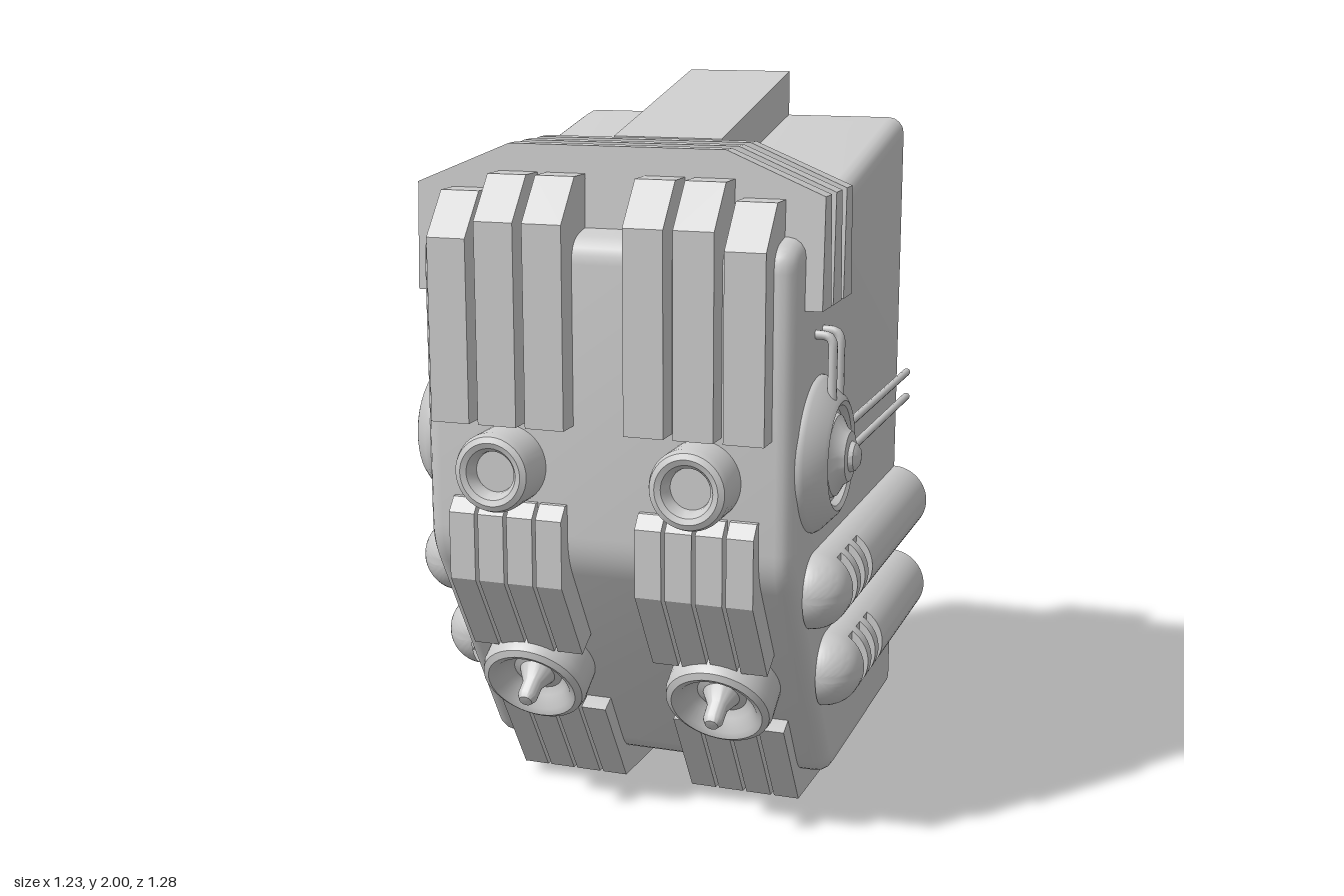
import * as THREE from 'three';
import { toCreasedNormals } from 'three/addons/utils/BufferGeometryUtils.js';

const BACK = -0.64;
const solid = new THREE.MeshStandardMaterial({ color: 0xcccccc });
const open = new THREE.MeshStandardMaterial({ color: 0xcccccc, side: THREE.DoubleSide });

function add(parent, name, geometry, material = solid) {
  const mesh = new THREE.Mesh(geometry, material);
  mesh.name = name;
  parent.add(mesh);
  return mesh;
}

// Extrude a [z, y] outline across x, from x0 to x1
function prism(outline, x0, x1) {
  const shape = new THREE.Shape(outline.map(([z, y]) => new THREE.Vector2(z, y)));
  return new THREE.ExtrudeGeometry(shape, { depth: x1 - x0, bevelEnabled: false })
    .rotateY(-Math.PI / 2).translate(x1, 0, 0);
}

// Flatten everything behind the back plane and remove the wall lying in it
function openBack(geometry) {
  const src = geometry.index ? geometry.toNonIndexed() : geometry;
  const p = src.attributes.position;
  const kept = [];
  for (let i = 0; i < p.count; i += 3) {
    const tri = [i, i + 1, i + 2].map(k => [p.getX(k), p.getY(k), Math.max(p.getZ(k), BACK)]);
    if (tri.some(v => v[2] > BACK + 0.001)) kept.push(...tri.flat());
  }
  const out = new THREE.BufferGeometry();
  out.setAttribute('position', new THREE.Float32BufferAttribute(kept, 3));
  return toCreasedNormals(out, 0.6);
}

// Round the corners of an outline
function roundedShape(points, r) {
  const shape = new THREE.Shape();
  const v = points.map(([a, b]) => new THREE.Vector2(a, b));
  v.forEach((c, i) => {
    const towards = q => c.clone().add(q.clone().sub(c).setLength(r));
    const a = towards(v[(i + v.length - 1) % v.length]);
    const b = towards(v[(i + 1) % v.length]);
    if (i) shape.lineTo(a.x, a.y); else shape.moveTo(a.x, a.y);
    shape.quadraticCurveTo(c.x, c.y, b.x, b.y);
  });
  shape.closePath();
  return shape;
}

// Hollow main shell with a sloping roof, a raked lower front and no back
function bodyGeometry() {
  const shape = roundedShape(
    [[-0.78, 0.11], [0.09, 0.11], [0.52, 0.81], [0.52, 1.64], [-0.64, 1.875], [-0.78, 1.875]], 0.06);
  const bevel = 0.045;
  const g = new THREE.ExtrudeGeometry(shape, {
    depth: 1 - 2 * bevel, bevelSize: bevel, bevelThickness: bevel,
    bevelOffset: -bevel, bevelSegments: 4, curveSegments: 5
  });
  return openBack(g.translate(0, 0, bevel - 0.5).rotateY(-Math.PI / 2));
}

// Arched roof fin, thicker towards its lower ends
function finGeometry() {
  const outline = [[-0.545, 1.48], [0.545, 1.48], [0.545, 1.76], [0.29, 1.865], [-0.29, 1.865], [-0.545, 1.76]];
  const shape = new THREE.Shape(outline.map(([x, y]) => new THREE.Vector2(x, y)));
  const g = new THREE.ExtrudeGeometry(shape, { depth: 1, bevelEnabled: false }).translate(0, 0, -0.5);
  const p = g.attributes.position;
  for (let i = 0; i < p.count; i++) {
    const t = (p.getY(i) - 1.48) / (1.865 - 1.48);
    p.setZ(i, p.getZ(i) * (0.085 - 0.037 * t));
  }
  g.computeVertexNormals();
  return g;
}

function lathe(profile, segments = 40) {
  const g = new THREE.LatheGeometry(profile.map(([r, h]) => new THREE.Vector2(r, h)), segments);
  return toCreasedNormals(g, 0.6);
}

// Half-round side tank with a domed front and three flat-cut slots
function tankGeometry(front) {
  const R = 0.102, cut = 0.056, eps = 0.002;
  const pts = [[R, BACK]];
  const slots = [0.30, 0.215, 0.13].map(d => [front - d - 0.046, front - d]);
  for (const [a, b] of slots) pts.push([R, a], [R, a + eps], [R, b - eps], [R, b]);
  for (let i = 0; i <= 10; i++) {
    const t = i / 10 * Math.PI / 2;
    pts.push([R * Math.cos(t), front - R + R * Math.sin(t)]);
  }
  const g = new THREE.LatheGeometry(pts.map(([r, h]) => new THREE.Vector2(Math.max(r, 0), h)), 32, 0, Math.PI);
  g.rotateX(Math.PI / 2);
  const p = g.attributes.position;
  for (let i = 0; i < p.count; i++) {
    const z = p.getZ(i);
    if (slots.some(([a, b]) => z > a + eps / 2 && z < b - eps / 2)) p.setX(i, Math.min(p.getX(i), cut));
  }
  return toCreasedNormals(g, 0.6);
}

function pipe(points, radius) {
  const path = new THREE.CatmullRomCurve3(points.map(q => new THREE.Vector3(...q)), false, 'catmullrom', 0.3);
  return new THREE.TubeGeometry(path, 24, radius, 10);
}

// Everything that is repeated on both sides
function sideParts() {
  const side = new THREE.Group();

  // Upper front ribs with chamfered tops
  for (const [x, top] of [[0.08, 1.795], [0.21, 1.795], [0.34, 1.75]]) {
    add(side, 'upperFrontRib', prism(
      [[0.42, 1.165], [0.588, 1.165], [0.588, top - 0.11], [0.495, top], [0.42, top]], x, x + 0.105));
  }

  // Lower front ribs and the long ribs under the floor
  for (let i = 0; i < 4; i++) {
    const x = 0.1 + i * 0.081;
    add(side, 'lowerFrontRib', prism(
      [[0.33, 0.57], [0.425, 0.515], [0.565, 0.74], [0.565, 0.92], [0.535, 0.955], [0.44, 0.955], [0.44, 0.76]], x, x + 0.071));
    add(side, 'floorRib', openBack(prism(
      [[BACK, 0], [0.095, 0.035], [0.26, 0.295], [0.215, 0.315], [BACK, 0.315]], x, x + 0.071)), open);
  }

  // Short front nozzle
  add(side, 'frontNozzle', lathe([[0, -0.16], [0.105, -0.16], [0.105, -0.025], [0.098, -0.007], [0.083, 0],
    [0.068, -0.006], [0.056, -0.025], [0.054, -0.04], [0, -0.04]]).rotateX(Math.PI / 2))
    .position.set(0.262, 1.05, 0.64);

  // Tilted lamp with a dished face and a centre pin
  const lamp = add(side, 'lowerLamp', lathe([[0, -0.14], [0.148, -0.14], [0.148, -0.03], [0.142, -0.01], [0.125, 0],
    [0.108, -0.008], [0.085, -0.04], [0.068, -0.055], [0.05, -0.05], [0.028, -0.01], [0.027, 0.035], [0.018, 0.05], [0, 0.053]]));
  lamp.rotation.x = 2.12;
  lamp.position.set(0.265, 0.39, 0.39);

  // Round side hub with a stepped boss
  add(side, 'sideHub', lathe([[0, 0.48], [0.205, 0.48], [0.205, 0.505], [0.198, 0.516], [0.155, 0.558], [0.142, 0.565],
    [0.13, 0.558], [0.122, 0.54], [0.112, 0.54], [0.105, 0.555], [0.075, 0.572], [0.065, 0.588], [0.04, 0.59],
    [0.036, 0.602], [0.022, 0.612], [0, 0.614]], 48).rotateZ(-Math.PI / 2))
    .position.set(0, 1.085, 0.288);

  // Long pipes running back from the hub
  for (const y of [1.12, 1.045]) {
    add(side, 'longPipe', pipe([[0.53, y, 0.16], [0.53, y, -0.2], [0.53, y, BACK]], 0.011), open);
  }

  // Short bent pipes above the hub
  for (const z of [0.322, 0.247]) {
    add(side, 'bentPipe', pipe([[0.545, 1.23, z], [0.545, 1.32, z], [0.545, 1.38, z], [0.535, 1.398, z],
      [0.515, 1.402, z], [0.48, 1.402, z]], 0.012), open);
  }

  // Slotted tanks
  for (const [y, front] of [[0.725, 0.412], [0.46, 0.265]]) {
    add(side, 'sideTank', tankGeometry(front), open).position.set(0.5, y, 0);
  }
  return side;
}

export function createModel() {
  const model = new THREE.Group();
  model.name = 'armouredPod';

  add(model, 'body', bodyGeometry(), open);
  add(model, 'roofDuct', openBack(prism(
    [[BACK, 1.68], [0.02, 1.54], [0.02, 1.855], [BACK, 2]], -0.153, 0.153)), open);
  for (const z of [0.392, 0.288, 0.183]) add(model, 'roofFin', finGeometry()).position.z = z;

  const left = sideParts();
  left.name = 'leftSide';
  const right = sideParts();
  right.name = 'rightSide';
  right.scale.x = -1;
  model.add(left, right);
  return model;
}
